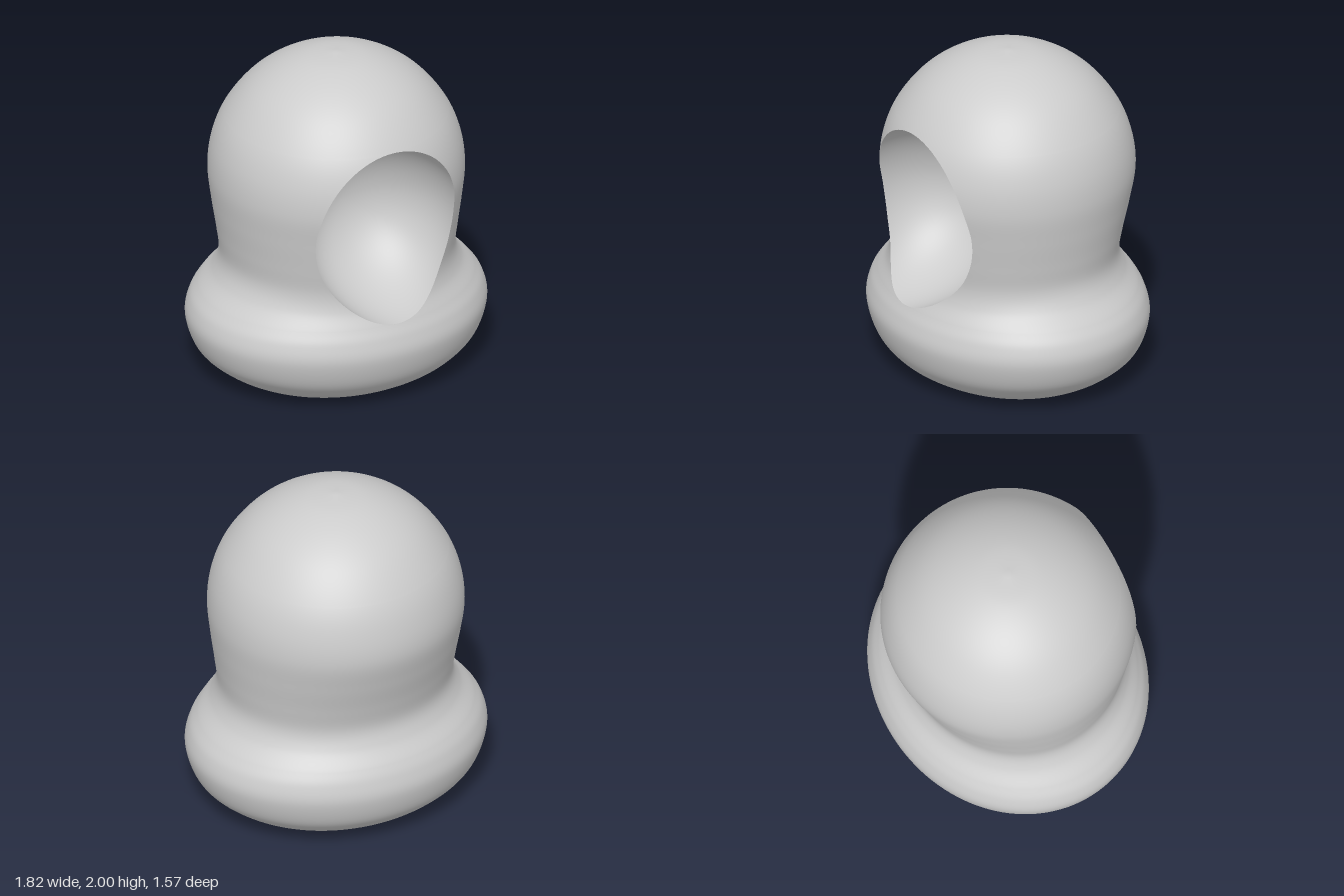
import * as THREE from 'three';
import { mergeVertices } from 'three/addons/utils/BufferGeometryUtils.js';

const material = new THREE.MeshStandardMaterial({ color: 0xcccccc });

// Skin a list of equally long point rows into one smooth surface
function skin(rows) {
  const cols = rows[0].length;
  const index = [];
  for (let r = 0; r < rows.length - 1; r++) {
    for (let c = 0; c < cols - 1; c++) {
      const i = r * cols + c;
      index.push(i, i + 1, i + cols, i + 1, i + cols + 1, i + cols);
    }
  }
  let geometry = new THREE.BufferGeometry().setFromPoints(rows.flat());
  geometry.setIndex(index);
  geometry = mergeVertices(geometry, 1e-5);
  geometry.computeVertexNormals();
  return geometry;
}

function part(name, geometry) {
  const mesh = new THREE.Mesh(geometry, material);
  mesh.name = name;
  return mesh;
}

// Cross-sections: height, half width, front depth, back depth
const sections = [
  [0, 0.56, 0.5, 0.48],
  [0.025, 0.64, 0.56, 0.55],
  [0.1, 0.76, 0.67, 0.66],
  [0.2, 0.86, 0.745, 0.745],
  [0.35, 0.91, 0.785, 0.785],
  [0.46, 0.89, 0.765, 0.765],
  [0.54, 0.835, 0.73, 0.725],
  [0.64, 0.745, 0.69, 0.655],
  [0.75, 0.703, 0.68, 0.622],
  [0.9, 0.715, 0.7, 0.65],
  [1.08, 0.738, 0.725, 0.7],
];
for (const deg of [0, 14.3, 28.65, 45, 60, 75, 90]) {
  const a = THREE.MathUtils.degToRad(deg);
  const c = Math.cos(a);
  sections.push([1.27 + 0.73 * Math.sin(a), 0.753 * c, 0.748 * c, 0.74 * c]);
}
const last = sections.length - 1;
const LOW = 6, HIGH = 13; // sections touching the ends of the face opening
const makeCurve = (k) => new THREE.CatmullRomCurve3(
  sections.map((s) => new THREE.Vector3(s[1], s[0], s[k])), false, 'catmullrom', 0.5);
const frontCurve = makeCurve(2), backCurve = makeCurve(3);

// Face opening: a slightly egg-shaped oval
const bottomY = sections[LOW][0], topY = sections[HIGH][0];
const midY = (bottomY + topY) / 2;
function openingHalfWidth(y) {
  const v = (y - midY) / ((topY - bottomY) / 2);
  return Math.abs(v) >= 1 ? 0 : 0.463 * Math.sqrt(1 - v * v) * (1 + 0.04 * v);
}

// One horizontal loop, starting and ending at the edge of the opening
function loopAt(t, open) {
  const f = frontCurve.getPoint(t / last), b = backCurve.getPoint(t / last);
  const start = open ? Math.asin(openingHalfWidth(f.y) / f.x) : 0;
  const loop = [];
  for (let i = 0; i <= 128; i++) {
    const a = start + (2 * Math.PI - 2 * start) * (i / 128);
    const c = Math.cos(a);
    loop.push(new THREE.Vector3(f.x * Math.sin(a), f.y, c * (c > 0 ? f.z : b.z)));
  }
  return loop;
}

export function createModel() {
  const group = new THREE.Group();
  group.name = 'hoodedFigure';

  // Outer hood and collar, rows packed tighter at the ends of the opening
  const rows = [], rim = [];
  for (let i = 0; i < 36; i++) rows.push(loopAt((LOW * i) / 36, false));
  for (let i = 0; i <= 72; i++) {
    const t = LOW + (HIGH - LOW) * (0.5 - 0.5 * Math.cos((Math.PI * i) / 72));
    const loop = loopAt(t, i > 0 && i < 72);
    rows.push(loop);
    rim.push(loop);
  }
  for (let i = 1; i <= 32; i++) rows.push(loopAt(HIGH + ((last - HIGH) * i) / 32, false));
  group.add(part('hoodAndCollar', skin(rows)));

  // Hollow face: the rim drawn inwards to a deep, rounded back
  const edge = [
    ...rim.map((loop) => loop[0]),
    ...rim.slice(0, -1).reverse().map((loop) => loop[128]),
  ];
  const backZ = 0.08;
  const rings = [];
  for (let j = 0; j <= 32; j++) {
    const t = (j / 32) * Math.PI / 2;
    const s = Math.cos(t), d = 1 - Math.sin(t);
    rings.push(edge.map((p) => new THREE.Vector3(
      p.x * s, midY + (p.y - midY) * s, backZ + (p.z - backZ) * d)));
  }
  group.add(part('faceHollow', skin(rings)));

  // Flat underside
  const foot = rows[0];
  const centre = foot.map(() => new THREE.Vector3(0, 0, 0));
  group.add(part('underside', skin([centre, foot])));

  return group;
}
